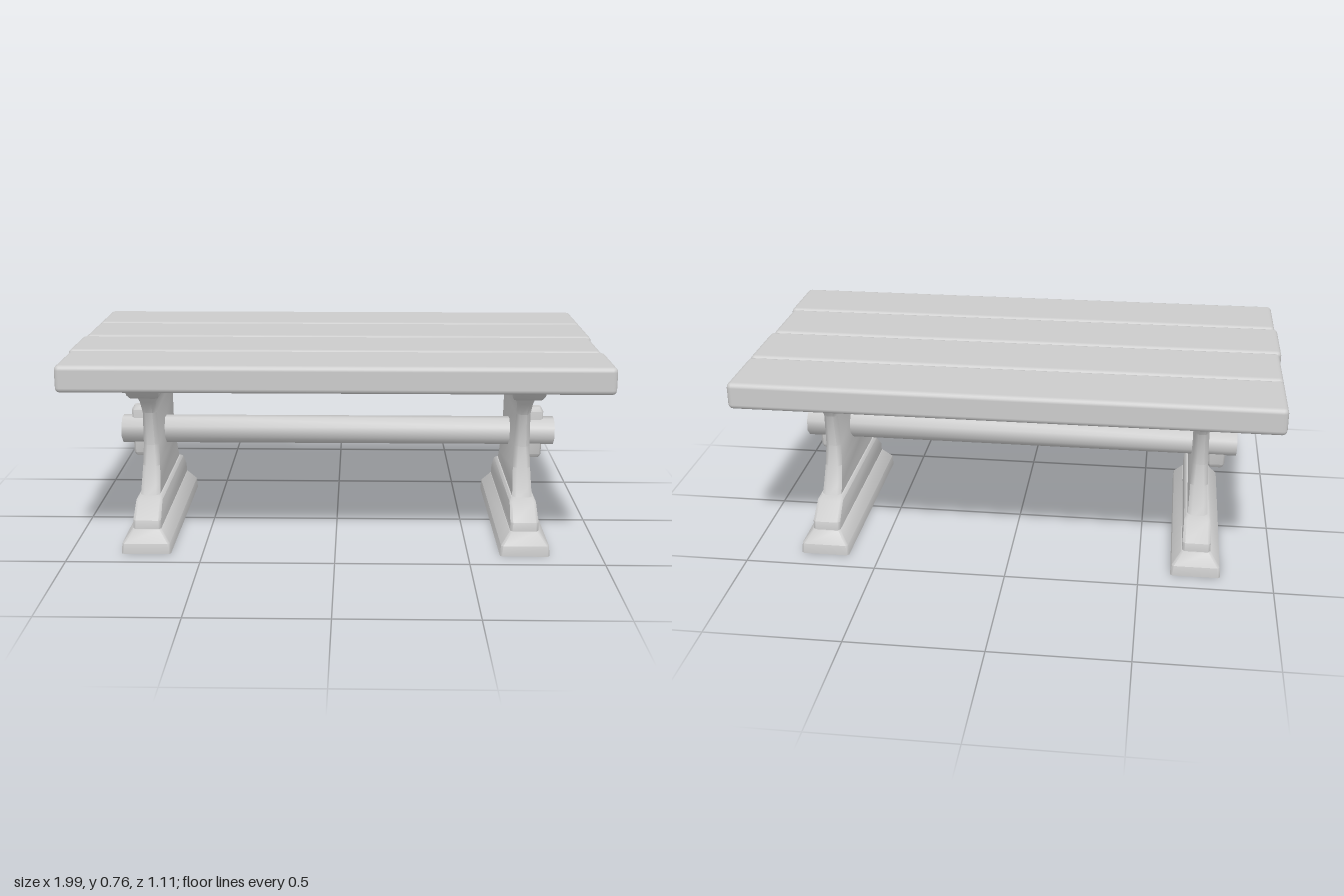
import * as THREE from 'three';
import { toCreasedNormals } from 'three/addons/utils/BufferGeometryUtils.js';
import { RoundedBoxGeometry } from 'three/addons/geometries/RoundedBoxGeometry.js';

const wood = new THREE.MeshStandardMaterial({ color: 0xcccccc });

function addMesh(parent, name, geometry, x = 0, y = 0, z = 0) {
  const mesh = new THREE.Mesh(geometry, wood);
  mesh.name = name;
  mesh.position.set(x, y, z);
  parent.add(mesh);
  return mesh;
}

// Stacks chamfered rectangles; each row is [y, half width in x, half depth in z].
function loft(rows, chamfer) {
  const positions = [], index = [], n = 8;
  for (const [y, w, d] of rows) {
    const c = Math.min(chamfer, w * 0.6, d * 0.6);
    const ring = [
      [w, d - c], [w, c - d], [w - c, -d], [c - w, -d],
      [-w, c - d], [-w, d - c], [c - w, d], [w - c, d],
    ];
    for (const [x, z] of ring) positions.push(x, y, z);
  }
  const top = (rows.length - 1) * n;
  for (let r = 0; r < top; r += n) {
    for (let i = 0; i < n; i++) {
      const a = r + i, b = r + (i + 1) % n;
      index.push(a, b, b + n, a, b + n, a + n);
    }
  }
  for (let i = 1; i < n - 1; i++) {
    index.push(0, i + 1, i, top, top + i, top + i + 1);
  }
  const geometry = new THREE.BufferGeometry();
  geometry.setAttribute('position', new THREE.Float32BufferAttribute(positions, 3));
  geometry.setIndex(index);
  return toCreasedNormals(geometry, 0.82);
}

function createTrestle() {
  const trestle = new THREE.Group();
  // Wide foot on the ground with a bevelled upper edge
  addMesh(trestle, 'foot', loft([
    [0, 0.093, 0.417], [0.04, 0.09, 0.415], [0.085, 0.055, 0.38],
  ], 0.008));
  // Narrower block with sloping ends
  addMesh(trestle, 'footBlock', loft([
    [0.08, 0.053, 0.376], [0.118, 0.053, 0.374], [0.176, 0.05, 0.305], [0.188, 0.042, 0.28],
  ], 0.01));
  // Waisted upright board
  addMesh(trestle, 'upright', loft([
    [0.175, 0.038, 0.288], [0.22, 0.036, 0.262], [0.29, 0.033, 0.23], [0.37, 0.03, 0.212],
    [0.5, 0.027, 0.225], [0.55, 0.03, 0.262], [0.59, 0.042, 0.292],
  ], 0.015));
  // Flared bearer under the top
  addMesh(trestle, 'bearer', loft([
    [0.585, 0.052, 0.34], [0.6, 0.06, 0.36], [0.66, 0.066, 0.425],
  ], 0.008));
  return trestle;
}

export function createModel() {
  const table = new THREE.Group();
  table.name = 'trestleTable';

  // Four planks, laid slightly out of line
  const top = new THREE.Group();
  top.name = 'tableTop';
  table.add(top);
  const shifts = [0.002, 0.002, -0.007, 0.002];
  shifts.forEach((shift, i) => {
    const plank = new RoundedBoxGeometry(1.986, 0.1, 0.275, 2, 0.018);
    addMesh(top, 'plank', plank, shift, 0.706, (i - 1.5) * 0.278);
  });

  // Trestles with a locking wedge outside each
  for (const side of [-1, 1]) {
    const trestle = createTrestle();
    trestle.name = side < 0 ? 'rightTrestle' : 'leftTrestle';
    trestle.position.x = side * 0.713;
    table.add(trestle);
    const wedge = loft([
      [0.27, 0.026, 0.017], [0.285, 0.033, 0.025],
      [0.46, 0.037, 0.025], [0.477, 0.028, 0.017],
    ], 0.008);
    addMesh(table, 'wedge', wedge, side * 0.78);
  }

  // Eight-sided stretcher through both trestles
  const beam = new THREE.CylinderGeometry(0.056, 0.056, 1.716, 8);
  beam.rotateY(Math.PI / 8).rotateZ(Math.PI / 2);
  addMesh(table, 'stretcher', toCreasedNormals(beam, 0.82), 0.002, 0.378, 0);

  return table;
}
